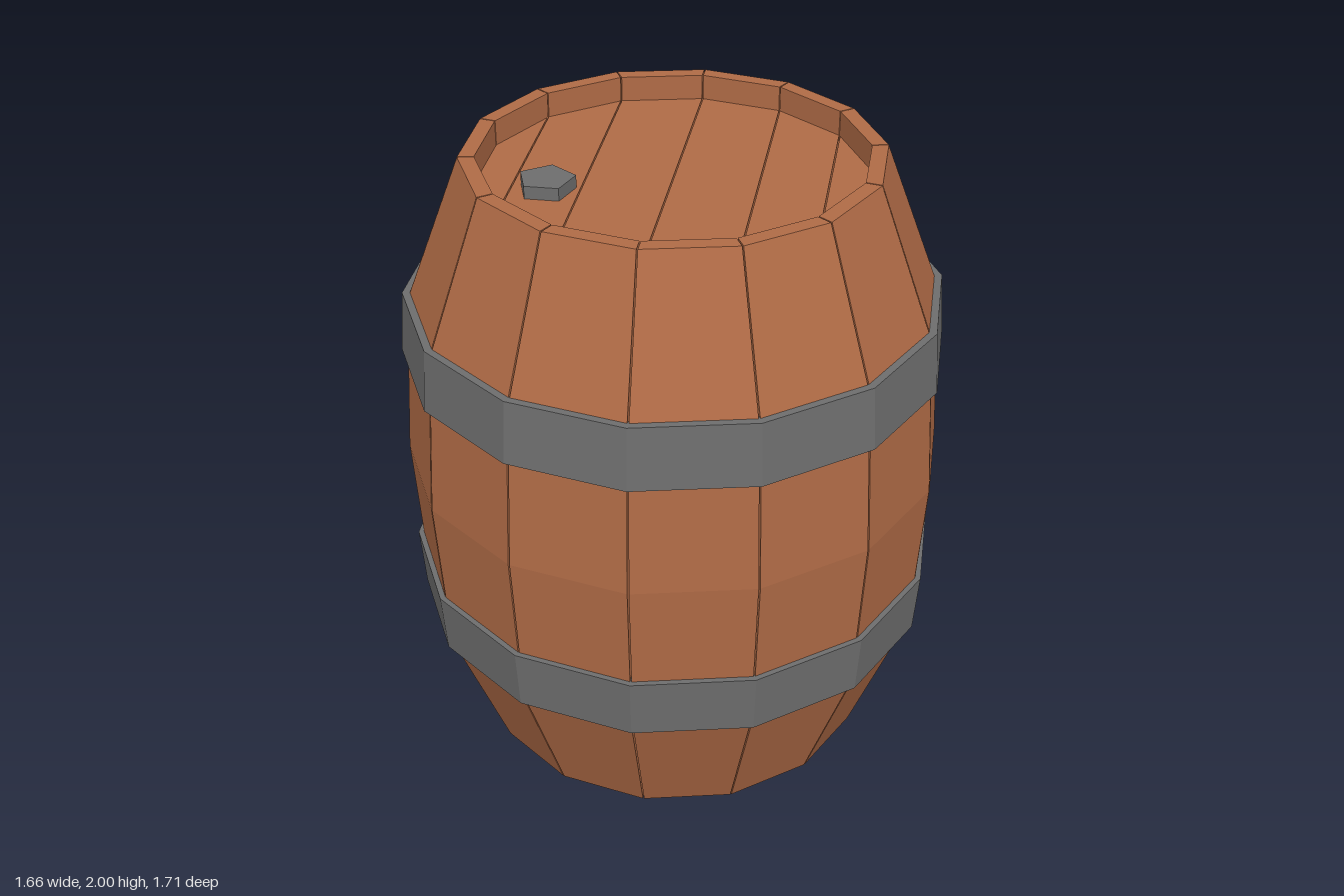
import * as THREE from 'three';

const SIDES = 14;
const STEP = (Math.PI * 2) / SIDES;

const wood = new THREE.MeshStandardMaterial({ color: 0xb06b46, flatShading: true });
const iron = new THREE.MeshStandardMaterial({ color: 0x6e6e6e, flatShading: true });

function polygon(points) {
  return new THREE.Shape(points.map(([x, y]) => new THREE.Vector2(x, y)));
}

// Sweeps a closed (radius, height) section around y from angle a0 to a1, in straight facets.
function sweep(section, a0, a1, steps) {
  const geometry = new THREE.ExtrudeGeometry(polygon(section), { depth: 1, steps, bevelEnabled: false });
  const p = geometry.attributes.position;
  for (let i = 0; i < p.count; i++) {
    const r = p.getX(i);
    const a = a1 - p.getZ(i) * (a1 - a0);
    p.setXYZ(i, r * Math.sin(a), p.getY(i), r * Math.cos(a));
  }
  geometry.computeVertexNormals();
  return geometry;
}

function add(parent, name, geometry, material) {
  const mesh = new THREE.Mesh(geometry, material);
  mesh.name = name;
  parent.add(mesh);
  return mesh;
}

// Bulging wall of separate staves with hairline seams
function createStaves() {
  const group = new THREE.Group();
  group.name = 'staves';
  const section = [
    [0.64, 0], [0.82, 0.47], [0.853, 1], [0.82, 1.53], [0.64, 2],
    [0.59, 2], [0.59, 1.88], [0.76, 1.5], [0.79, 1], [0.76, 0.5], [0.59, 0.12], [0.59, 0],
  ];
  const seam = 0.003;
  for (let i = 0; i < SIDES; i++) {
    add(group, 'stave', sweep(section, i * STEP + seam, (i + 1) * STEP - seam, 1), wood);
  }
  return group;
}

// Round end made of six parallel planks, split at the corners of the polygon
function createEnd(name, y) {
  const group = new THREE.Group();
  group.name = name;
  const radius = 0.592;
  const seam = 0.002;
  for (let k = -3; k < 3; k++) {
    const x0 = radius * Math.sin(k * STEP) + seam;
    const x1 = radius * Math.sin((k + 1) * STEP) - seam;
    const z0 = radius * Math.cos(k * STEP);
    const z1 = radius * Math.cos((k + 1) * STEP);
    const outline = polygon([[x0, -z0], [x1, -z1], [x1, z1], [x0, z0]]);
    const plank = new THREE.ExtrudeGeometry(outline, { depth: 0.05, bevelEnabled: false });
    plank.rotateX(-Math.PI / 2);
    add(group, 'plank', plank, wood);
  }
  group.position.y = y;
  return group;
}

export function createModel() {
  const barrel = new THREE.Group();
  barrel.name = 'barrel';

  barrel.add(createStaves());
  barrel.add(createEnd('lid', 1.87), createEnd('base', 0.08));

  // Iron hoops, mirrored about mid height
  const hoop = [[0.8, 1.355], [0.85, 1.355], [0.835, 1.555], [0.8, 1.555]];
  add(barrel, 'upperHoop', sweep(hoop, 0, Math.PI * 2, SIDES), iron);
  const mirrored = hoop.map(([r, y]) => [r, 2.01 - y]);
  add(barrel, 'lowerHoop', sweep(mirrored, 0, Math.PI * 2, SIDES), iron);

  // Five-sided bung on the lid
  const bung = add(barrel, 'bung', new THREE.CylinderGeometry(0.088, 0.088, 0.06, 5), iron);
  bung.rotation.y = Math.PI;
  bung.position.set(-0.355, 1.93, 0.153);

  return barrel;
}
